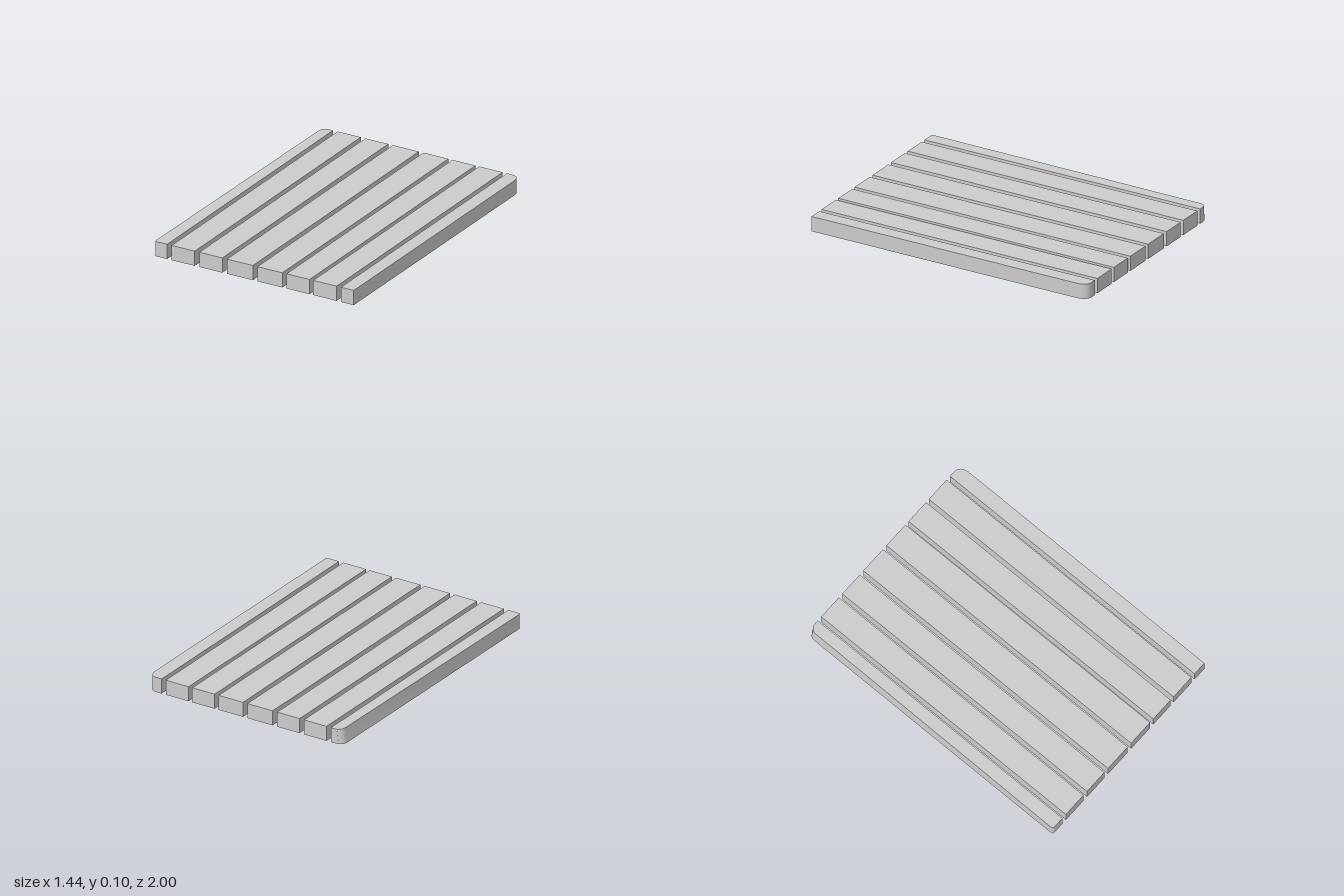
import * as THREE from 'three';
import { toCreasedNormals } from 'three/addons/utils/BufferGeometryUtils.js';

const HEIGHT = 0.1;
const material = new THREE.MeshStandardMaterial({ color: 0xcccccc });

// Edge slat: a plan outline (x, z) extruded upward, with softly creased sides
function edgeSlat(name, shape, lean) {
  const geometry = new THREE.ExtrudeGeometry(shape, { depth: HEIGHT, bevelEnabled: false, curveSegments: 8 });
  geometry.rotateX(Math.PI / 2).translate(0, HEIGHT, 0);
  // Lean the upper outer edge inward by a small amount that fades to the front
  const p = geometry.attributes.position;
  for (let i = 0; i < p.count; i++) {
    const x = p.getX(i);
    if (p.getY(i) > HEIGHT / 2 && Math.abs(x) > 0.68) {
      p.setX(i, x - Math.sign(x) * lean * (1 - p.getZ(i)) / 2);
    }
  }
  const mesh = new THREE.Mesh(toCreasedNormals(geometry, 0.6), material);
  mesh.name = name;
  return mesh;
}

export function createModel() {
  const group = new THREE.Group();
  group.name = 'slattedPanel';

  // Inner slats: left and right x of each board
  const spans = [[-0.6, -0.433], [-0.4, -0.234], [-0.2, -0.013], [0.02, 0.2], [0.23, 0.396], [0.423, 0.592]];
  spans.forEach(([a, b], i) => {
    const slat = new THREE.Mesh(new THREE.BoxGeometry(b - a, HEIGHT, 2), material);
    slat.position.set((a + b) / 2, HEIGHT / 2, 0);
    slat.name = `slat${i + 1}`;
    group.add(slat);
  });

  // Right edge slat: rounded back corner, small rounding at the front
  const right = new THREE.Shape();
  right.moveTo(-0.633, -1);
  right.lineTo(-0.633, 1);
  right.lineTo(-0.712, 1);
  right.quadraticCurveTo(-0.724, 1, -0.724, 0.97);
  right.lineTo(-0.72, -0.95);
  right.quadraticCurveTo(-0.719, -1, -0.665, -1);
  group.add(edgeSlat('rightEdgeSlat', right, 0.012));

  // Left edge slat: larger rounded back corner, square front
  const left = new THREE.Shape();
  left.moveTo(0.623, -1);
  left.lineTo(0.66, -1);
  left.quadraticCurveTo(0.719, -1, 0.72, -0.92);
  left.lineTo(0.716, 1);
  left.lineTo(0.623, 1);
  group.add(edgeSlat('leftEdgeSlat', left, 0));

  return group;
}
